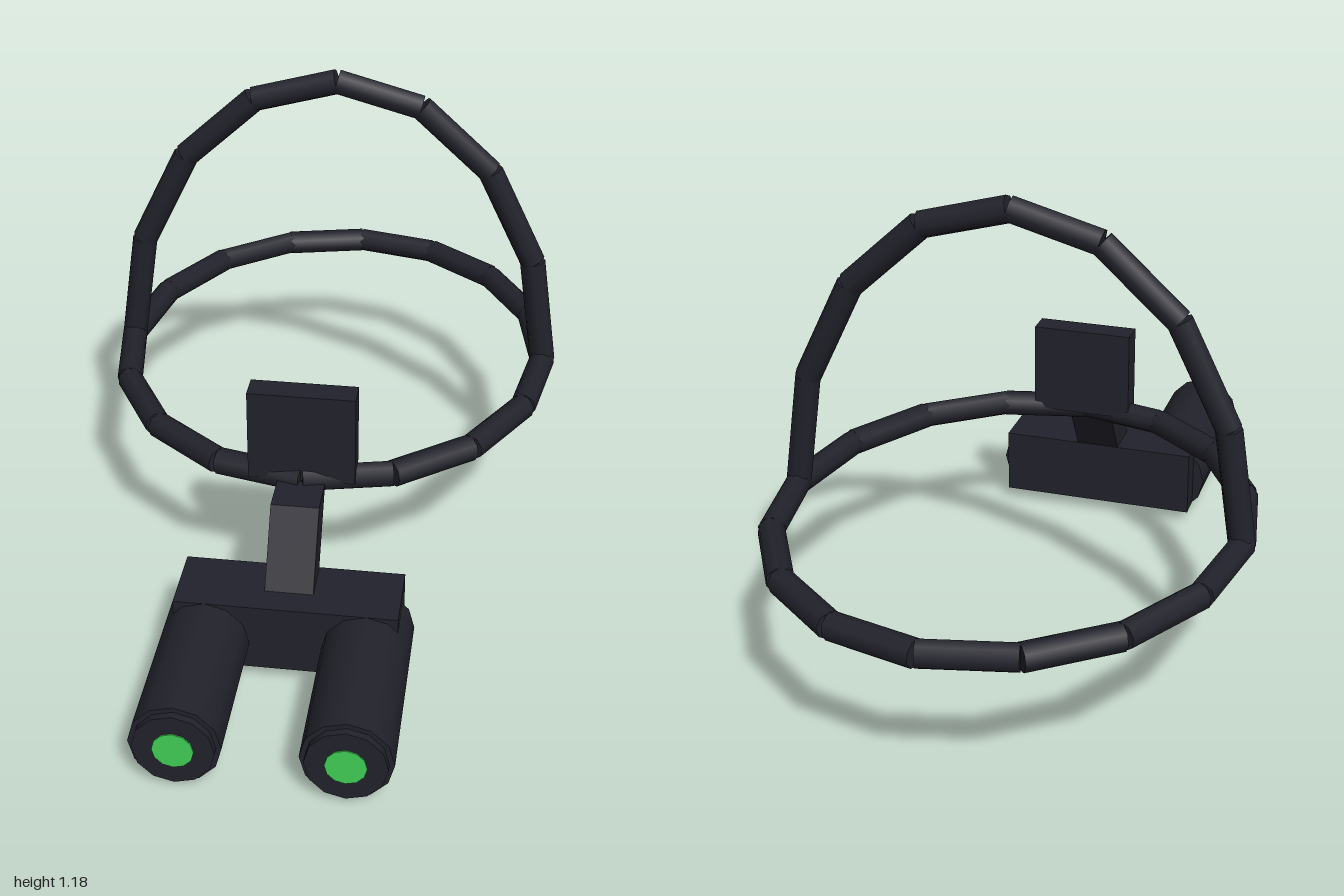
import * as THREE from 'three';

const dark = new THREE.MeshStandardMaterial({ color: 0x22222c });
dark.name = 'darkPlastic';
const green = new THREE.MeshStandardMaterial({ color: 0x40d055 });
green.name = 'greenLens';

function add(parent, name, geometry, material, x = 0, y = 0, z = 0) {
  const mesh = new THREE.Mesh(geometry, material);
  mesh.name = name;
  mesh.position.set(x, y, z);
  parent.add(mesh);
  return mesh;
}

// Straight rods joining neighbouring points of a path
function rods(name, points, radius) {
  const group = new THREE.Group();
  group.name = name;
  for (let i = 0; i < points.length - 1; i++) {
    const dir = points[i + 1].clone().sub(points[i]);
    const rod = add(group, name + 'Rod', new THREE.CylinderGeometry(radius, radius, dir.length(), 8), dark);
    rod.position.copy(points[i]).addScaledVector(dir, 0.5);
    rod.quaternion.setFromUnitVectors(new THREE.Vector3(0, 1, 0), dir.normalize());
  }
  return group;
}

export function createModel() {
  const model = new THREE.Group();
  model.name = 'headMountedGoggles';
  const bandY = 0.39, bandZ = -0.32, step = Math.PI / 8;

  // Head band: oval ring of sixteen rods
  const ring = [];
  for (let i = 0; i <= 16; i++) {
    ring.push(new THREE.Vector3(Math.sin(i * step) * 0.56, bandY, bandZ + Math.cos(i * step) * 0.65));
  }
  model.add(rods('headBand', ring, 0.033));

  // Strap over the crown: half oval of eight rods
  const arch = [];
  for (let i = 0; i <= 8; i++) {
    arch.push(new THREE.Vector3(Math.cos(i * step) * 0.56, bandY + Math.sin(i * step) * 0.765, bandZ));
  }
  model.add(rods('crownStrap', arch, 0.033));

  // Forehead plate
  add(model, 'foreheadPlate', new THREE.BoxGeometry(0.26, 0.235, 0.065), dark, 0, 0.508, 0.308);

  // Slanted arm: a box sheared forward towards the bottom
  const arm = new THREE.BoxGeometry(0.116, 0.178, 0.105);
  arm.applyMatrix4(new THREE.Matrix4().set(1, 0, 0, 0, 0, 1, 0, 0, 0, -0.6, 1, 0, 0, 0, 0, 1));
  arm.computeVertexNormals();
  add(model, 'mountArm', arm, dark, 0, 0.301, 0.449);

  // Bracket that holds both tubes
  add(model, 'bracket', new THREE.BoxGeometry(0.53, 0.175, 0.175), dark, 0, 0.1275, 0.5325);

  // Twin tubes with front rims and lenses
  const cylinder = (r, length) => new THREE.CylinderGeometry(r, r, length, 12).rotateX(Math.PI / 2);
  for (const side of [-1, 1]) {
    const tube = new THREE.Group();
    tube.name = side > 0 ? 'leftTube' : 'rightTube';
    tube.position.set(side * 0.19, 0.11, 0);
    add(tube, 'tubeBody', cylinder(0.105, 0.47), dark, 0, 0, 0.745);
    add(tube, 'tubeRim', cylinder(0.093, 0.02), dark, 0, 0, 0.987);
    add(tube, 'lens', cylinder(0.047, 0.008), green, 0, 0, 0.996);
    model.add(tube);
  }
  return model;
}
